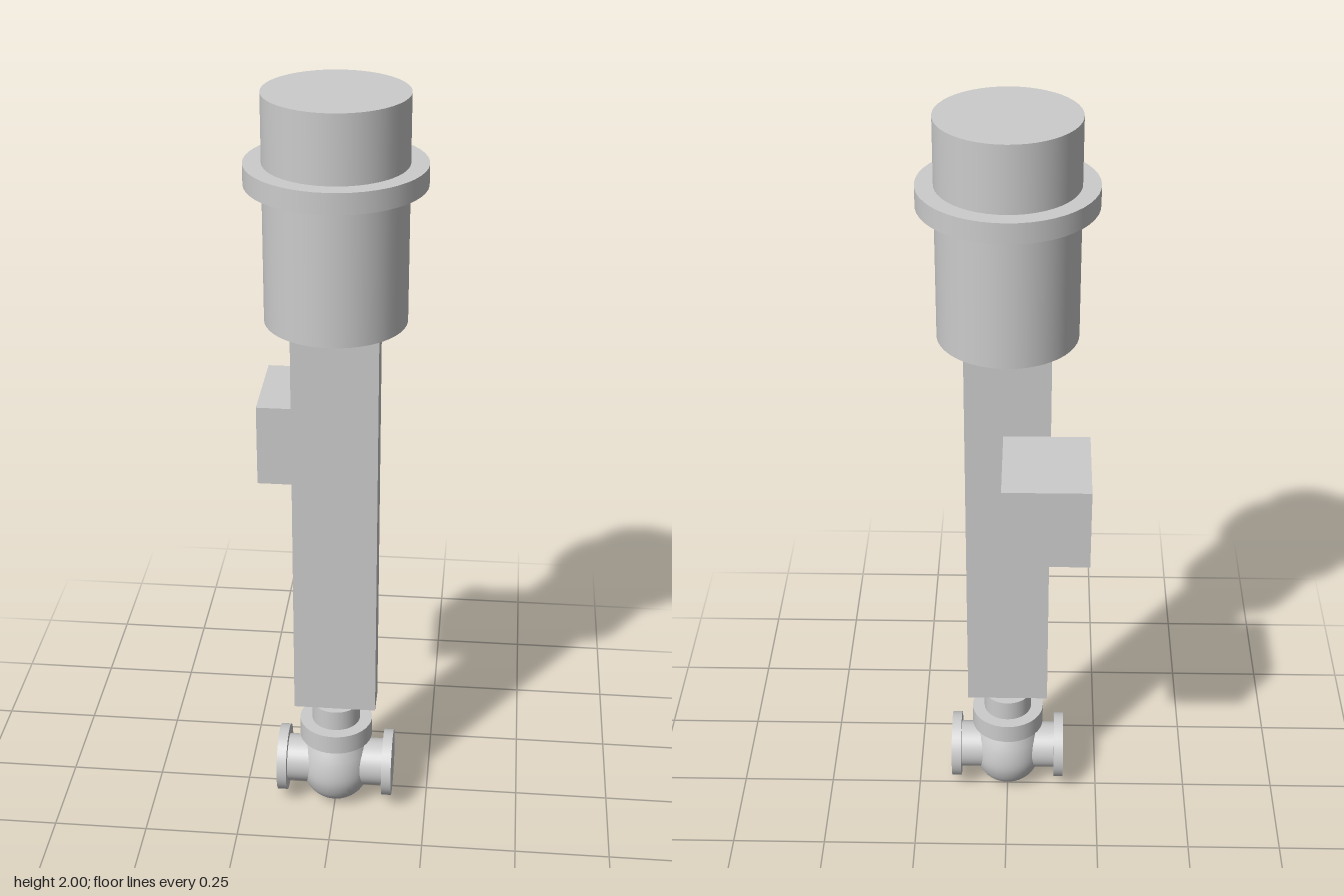
import * as THREE from 'three';

const material = new THREE.MeshStandardMaterial({ color: 0xcccccc });
const AXIS_Z = 0.039; // main vertical axis

export function createModel() {
  const group = new THREE.Group();

  const add = (name, geometry, x, y, z) => {
    const mesh = new THREE.Mesh(geometry, material);
    mesh.name = name;
    mesh.position.set(x, y, z);
    group.add(mesh);
    return mesh;
  };
  // Upright cylinder between two heights
  const drum = (name, r, y0, y1, segments = 48) =>
    add(name, new THREE.CylinderGeometry(r, r, y1 - y0, segments), 0, (y0 + y1) / 2, AXIS_Z);
  // Box between two corners
  const block = (name, [x0, y0, z0], [x1, y1, z1]) =>
    add(name, new THREE.BoxGeometry(x1 - x0, y1 - y0, z1 - z0),
      (x0 + x1) / 2, (y0 + y1) / 2, (z0 + z1) / 2);
  // Cylinder lying along x
  const sideways = (name, r, x0, x1, y) => {
    const mesh = add(name, new THREE.CylinderGeometry(r, r, Math.abs(x1 - x0), 36),
      (x0 + x1) / 2, y, AXIS_Z);
    mesh.rotation.z = Math.PI / 2;
  };

  // Actuator head with its rim
  drum('actuatorHead', 0.175, 1.435, 2);
  drum('actuatorRim', 0.219, 1.78, 1.832);

  // Yoke column and the box mounted behind it
  block('yokeColumn', [-0.109, 0.314, -0.002], [0.109, 1.435, 0.084]);
  block('positionerBox', [-0.208, 0.948, -0.259], [0.011, 1.165, -0.002]);

  // Bonnet
  drum('bonnetNeck', 0.065, 0.18, 0.314, 36);
  drum('bonnetFlange', 0.098, 0.203, 0.257, 36);

  // Rounded valve body
  const profile = new THREE.SplineCurve([
    [0, 0], [0.04, 0.008], [0.073, 0.034], [0.091, 0.073],
    [0.095, 0.11], [0.087, 0.155], [0.067, 0.203],
  ].map(([r, y]) => new THREE.Vector2(r, y))).getPoints(20);
  profile[0].set(0, 0);
  add('valveBody', new THREE.LatheGeometry(profile, 36), 0, 0, AXIS_Z);

  // Pipe stubs with end flanges, mirrored
  for (const [label, s] of [['left', 1], ['right', -1]]) {
    sideways(label + 'PipeStub', 0.064, 0, s * 0.14, 0.112);
    sideways(label + 'PipeFlange', 0.09, s * 0.13, s * 0.156, 0.112);
  }

  return group;
}
